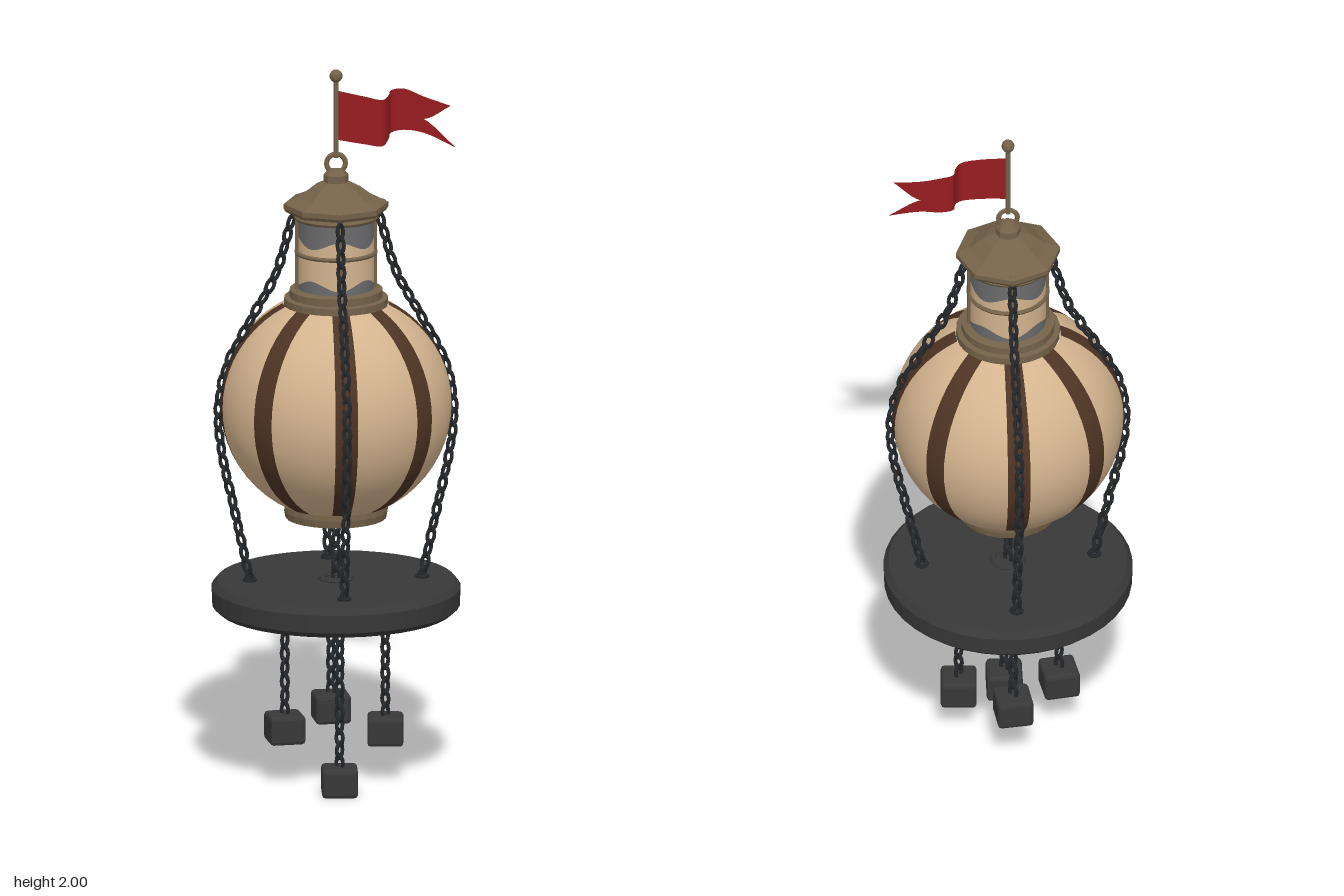
import * as THREE from 'three';
import { mergeGeometries } from 'three/addons/utils/BufferGeometryUtils.js';
import { ParametricGeometry } from 'three/addons/geometries/ParametricGeometry.js';
import { RoundedBoxGeometry } from 'three/addons/geometries/RoundedBoxGeometry.js';

const mat = (name, color, extra = {}) => Object.assign(new THREE.MeshStandardMaterial({ color, ...extra }), { name });
const V = (x, y, z) => new THREE.Vector3(x, y, z);

export function createModel() {
  const cloth = mat('cream cloth', 0xd4b48f);
  const stripe = mat('brown stripe', 0x4e3424);
  const bronze = mat('aged bronze', 0x75634a, { flatShading: true });
  const iron = mat('dark iron', 0x383838, { flatShading: true });
  const chainIron = mat('chain iron', 0x25282b);
  const glass = mat('smoky glass', 0x6c6c6e);
  const red = mat('red flag', 0x981c20, { side: THREE.DoubleSide });

  const model = new THREE.Group();
  const add = (name, geometry, material, x = 0, y = 0, z = 0) => {
    const m = new THREE.Mesh(geometry, material);
    m.name = name;
    m.position.set(x, y, z);
    model.add(m);
    return m;
  };
  const lathe = (pts, sides) => new THREE.LatheGeometry(pts.map(p => new THREE.Vector2(...p)), sides);
  const flatRing = (r, tube, sides = 24) => new THREE.TorusGeometry(r, tube, 6, sides).rotateX(Math.PI / 2);

  // Balloon: eight cream gores and eight stripes of nearly constant width
  const R = 0.315, CY = 1.062, END = 1.1;
  const gore = (from, to) => new ParametricGeometry((u, v, target) => {
    const lat = THREE.MathUtils.lerp(-END, END, v);
    const r = R * Math.cos(lat);
    const half = (0.018 + 0.013 * Math.cos(lat)) / r;
    const a = THREE.MathUtils.lerp(from(half), to(half), u);
    target.set(r * Math.sin(a), CY + R * Math.sin(lat), r * Math.cos(a));
  }, 6, 20);
  for (let i = 0; i < 8; i++) {
    const a = i * Math.PI / 4;
    add('balloonStripe', gore(h => a - h, h => a + h), stripe);
    add('balloonGore', gore(h => a + h, h => a + Math.PI / 4 - h), cloth);
  }

  // Collars below and above the balloon
  add('bottomCollar', lathe([[0, 0.745], [0.138, 0.745], [0.142, 0.765], [0.14, 0.785], [0.13, 0.79]], 24), bronze);
  add('topCollar', lathe([[0.13, 1.335], [0.142, 1.34], [0.142, 1.362], [0.127, 1.364],
    [0.127, 1.385], [0.1, 1.39]], 24), bronze);

  // Lantern wall: clear cream middle between smoky bands with a scalloped border
  const wave = a => 0.012 * Math.cos(4 * a);
  const band = (low, high) => new ParametricGeometry((u, v, target) => {
    const a = u * Math.PI * 2;
    target.set(0.104 * Math.sin(a), THREE.MathUtils.lerp(low(a), high(a), v), 0.104 * Math.cos(a));
  }, 48, 2);
  add('lanternLowerGlass', band(() => 1.385, a => 1.412 - wave(a)), glass);
  add('lanternPane', band(a => 1.412 - wave(a), a => 1.525 + wave(a)), cloth);
  add('lanternUpperGlass', band(a => 1.525 + wave(a), () => 1.61), glass);
  add('lanternHoop', flatRing(0.108, 0.006), bronze, 0, 1.49);
  add('lanternHoop', flatRing(0.108, 0.009), bronze, 0, 1.59);

  // Octagonal roof, knob, ring and flagpole
  add('roof', lathe([[0, 1.603], [0.137, 1.603], [0.143, 1.612], [0.143, 1.626], [0.105, 1.642],
    [0.065, 1.672], [0.034, 1.686], [0.034, 1.706], [0.024, 1.718], [0, 1.72]], 8), bronze);
  add('roofRing', new THREE.TorusGeometry(0.026, 0.007, 6, 16), bronze, 0, 1.737);
  add('flagpole', new THREE.CylinderGeometry(0.007, 0.007, 0.225, 8), bronze, 0, 1.865);
  add('poleBall', new THREE.SphereGeometry(0.018, 10, 8), bronze, 0, 1.982);

  // Waving swallowtail flag: columns of x, z, top, middle and bottom heights
  const columns = [
    [0.006, 0, 1.94, 1.87, 1.802], [0.075, 0.018, 1.927, 1.858, 1.793], [0.125, 0.022, 1.917, 1.85, 1.787],
    [0.145, -0.01, 1.922, 1.856, 1.8], [0.155, -0.045, 1.927, 1.862, 1.808], [0.19, -0.057, 1.928, 1.86, 1.812],
    [0.245, -0.04, 1.908, 1.845, 1.806],
  ];
  const edge = (k, tip) => new THREE.CatmullRomCurve3([...columns.map(c => V(c[0], c[k], c[1])), tip]);
  const flagHalf = (kTop, kBottom, tip) => {
    const top = edge(kTop, tip), bottom = edge(kBottom, tip);
    return new ParametricGeometry((u, v, target) => {
      target.lerpVectors(bottom.getPoint(u), top.getPoint(u), v);
    }, 32, 3);
  };
  add('flagUpperHalf', flagHalf(2, 3, V(0.315, 1.888, -0.01)), red);
  add('flagLowerHalf', flagHalf(3, 4, V(0.328, 1.772, -0.005)), red);

  // Chains: oval links along a curve, every other one turned a quarter
  const chain = (name, points) => {
    const curve = new THREE.CatmullRomCurve3(points);
    const n = Math.max(2, Math.round(curve.getLength() / 0.037));
    const up = V(0, 1, 0), links = [];
    for (let i = 0; i <= n; i++) {
      const g = new THREE.TorusGeometry(0.0125, 0.0055, 5, 10).scale(1, 1.6, 1);
      g.rotateY(Math.PI / 4 + (i % 2) * Math.PI / 2);
      g.applyQuaternion(new THREE.Quaternion().setFromUnitVectors(up, curve.getTangentAt(i / n).negate()));
      const p = curve.getPointAt(i / n);
      links.push(g.translate(p.x, p.y, p.z));
    }
    add(name, mergeGeometries(links), chainIron);
  };
  const hang = [[0.123, 1.575], [0.165, 1.43], [0.235, 1.3], [0.3, 1.17], [0.322, 1.05],
    [0.312, 0.93], [0.28, 0.78], [0.236, 0.575]];
  for (let i = 0; i < 4; i++) {
    const s = Math.sin(i * Math.PI / 2), c = Math.cos(i * Math.PI / 2);
    chain('suspensionChain', hang.map(([r, y]) => V(r * s, y, r * c)));
    add('roofBolt', new THREE.SphereGeometry(0.017, 8, 6), bronze, 0.125 * s, 1.618, 0.125 * c);
    add('lanternPost', new THREE.CylinderGeometry(0.008, 0.008, 0.22, 6), bronze, 0.105 * s, 1.495, 0.105 * c);
    add('platformEye', flatRing(0.014, 0.006, 10), chainIron, 0.236 * s, 0.572, 0.236 * c);
  }
  chain('centreChain', [V(0, 0.75, 0), V(0, 0.58, 0)]);

  // Round iron platform with bevelled rims
  add('platform', lathe([[0, 0.485], [0.322, 0.485], [0.338, 0.5], [0.34, 0.55], [0.325, 0.568], [0, 0.57]], 40), iron);
  add('platformCentreRing', flatRing(0.042, 0.009, 12), iron, 0, 0.572);

  // Four hanging weights at different heights: x, centre y, z, turn
  const weights = [[-0.14, 0.155, 0, 0.12], [0.135, 0.144, 0, -0.1], [0, 0.175, -0.143, 0.08], [-0.005, 0.041, 0.155, -0.06]];
  for (const [x, y, z, turn] of weights) {
    add('weight', new RoundedBoxGeometry(0.098, 0.08, 0.098, 1, 0.01), iron, x, y, z).rotation.y = turn;
    chain('weightChain', [V(x, 0.48, z), V(x, y + 0.05, z)]);
  }
  return model;
}
